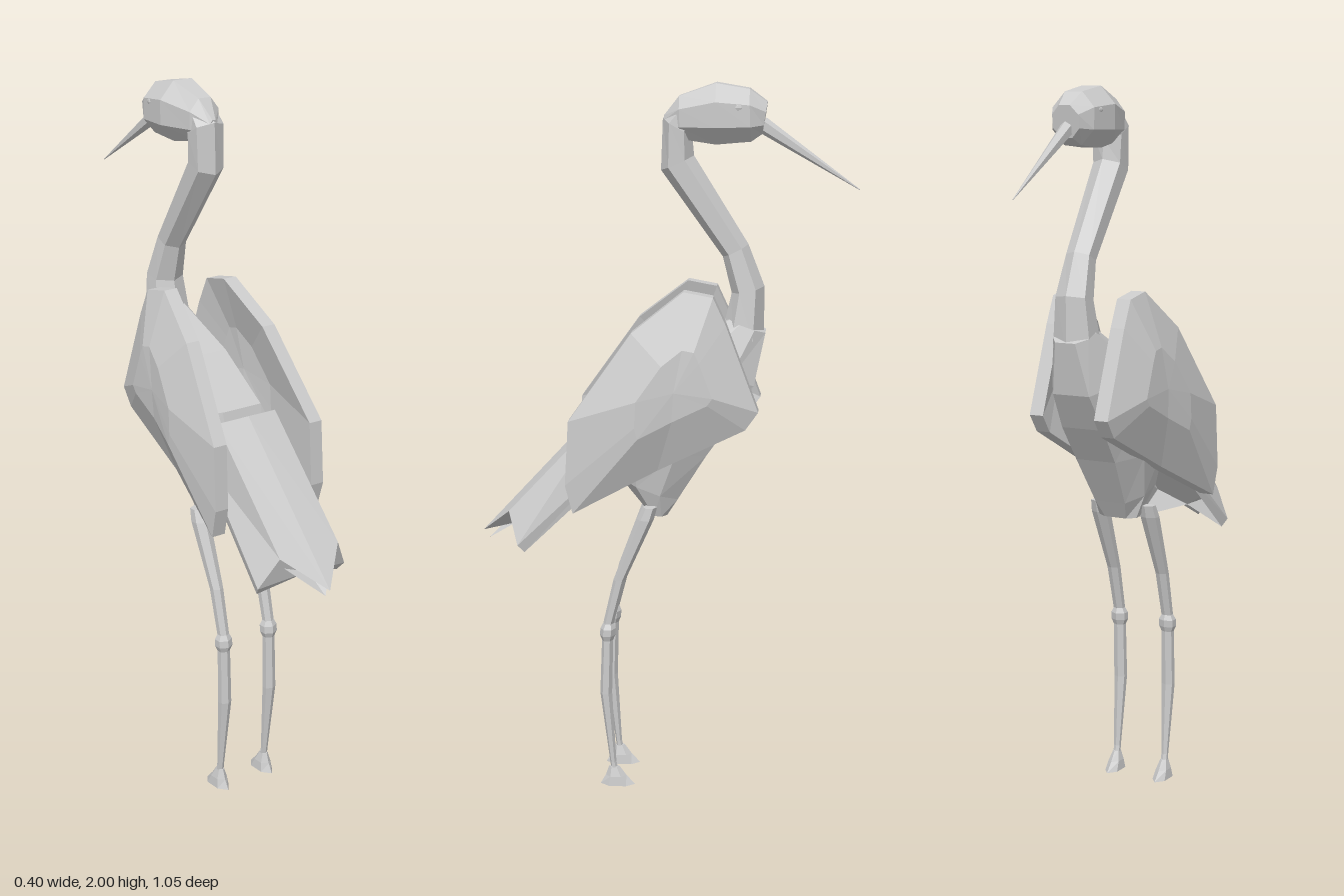
import * as THREE from 'three';

const material = new THREE.MeshStandardMaterial({ color: 0xcccccc, flatShading: true });

function add(parent, name, geometry) {
  const mesh = new THREE.Mesh(geometry, material);
  mesh.name = name;
  parent.add(mesh);
  return mesh;
}

// Flat-sided skin through rings of points, capped at both ends, always facing outward
function loft(rings) {
  const n = rings[0].length;
  const tris = [];
  const centre = (r) => r.reduce((s, p) => s.add(p), new THREE.Vector3()).divideScalar(n);
  const first = centre(rings[0]);
  const last = centre(rings[rings.length - 1]);
  for (let k = 0; k < n; k++) {
    const j = (k + 1) % n;
    for (let i = 0; i < rings.length - 1; i++) {
      const [a, b] = [rings[i], rings[i + 1]];
      tris.push([a[k], a[j], b[j]], [a[k], b[j], b[k]]);
    }
    tris.push([first, rings[0][j], rings[0][k]]);
    tris.push([last, rings[rings.length - 1][k], rings[rings.length - 1][j]]);
  }
  let volume = 0;
  for (const [a, b, c] of tris) volume += a.dot(b.clone().cross(c));
  if (volume < 0) tris.forEach((t) => t.reverse());
  const geometry = new THREE.BufferGeometry().setFromPoints(tris.flat());
  geometry.computeVertexNormals();
  return geometry;
}

// Ring between two side-profile points [z, y] with a half width across x.
// flat turns the ring so that a side, not a corner, lies at each end.
function ring([z1, y1], [z2, y2], halfWidth, { sides = 6, flat = false, power = 1, x = 0 } = {}) {
  const phase = flat ? Math.PI / sides : 0;
  const sMax = flat ? Math.cos(phase) : 1;
  const points = [];
  for (let k = 0; k < sides; k++) {
    const t = phase + (k / sides) * Math.PI * 2;
    const c = Math.cos(t) / sMax;
    const s = Math.sin(t) / (sides === 6 ? (flat ? 1 : Math.sin(Math.PI / 3)) : sMax);
    points.push(new THREE.Vector3(
      x + halfWidth * Math.sign(s) * Math.abs(s) ** power,
      (y1 + y2) / 2 + ((y1 - y2) / 2) * c,
      (z1 + z2) / 2 + ((z1 - z2) / 2) * c));
  }
  return points;
}

// Wing outline as [z, y]
const wingOutline = [
  [-0.05, 1.45], [-0.13, 1.435], [-0.165, 1.36], [-0.255, 1.12], [-0.22, 1.07],
  [0.02, 0.955], [0.25, 0.84], [0.27, 0.92], [0.26, 1.1], [0.09, 1.34],
];

function wing(side) {
  const layer = (offset, scale, bulge) => wingOutline.map(([z, y]) => {
    const pz = -0.05 + (z + 0.05) * scale;
    const py = 1.2 + (y - 1.2) * scale;
    const x = 0.08 + Math.max(0, pz + 0.05) * 0.2 + offset + bulge;
    return new THREE.Vector3(side * x, py, pz);
  });
  return loft([layer(0, 0.4, 0.045), layer(0, 1, 0), layer(0.042, 1, 0), layer(0.042, 0.4, 0.052)]);
}

// Fanned tail plate: a flat top with lowered outer edges and a pointed end
function tail() {
  const start = [[-0.115, 1.0, 0.13], [-0.1, 1.12, 0.16], [0, 1.125, 0.17], [0.1, 1.12, 0.16], [0.115, 1.0, 0.13]];
  const end = [[-0.15, 0.735, 0.41], [-0.1, 0.82, 0.44], [0, 0.735, 0.53], [0.1, 0.82, 0.44], [0.15, 0.735, 0.41]];
  const section = (row) => [
    ...row.map(([x, y, z]) => new THREE.Vector3(x, y, z)),
    ...row.map(([x, y, z]) => new THREE.Vector3(x * 0.93, y - 0.022, z - 0.018)).reverse(),
  ];
  return loft([section(start), section(end)]);
}

// Leg centres and radii: [y, z, radius], from hip to ankle
const legPath = [
  [0.835, 0.045, 0.02], [0.8, 0.058, 0.024], [0.62, 0.132, 0.017], [0.49, 0.164, 0.015],
  [0.475, 0.165, 0.022], [0.455, 0.167, 0.022], [0.44, 0.167, 0.016],
  [0.28, 0.172, 0.017], [0.07, 0.153, 0.009], [0.035, 0.147, 0.01],
];

export function createModel() {
  const bird = new THREE.Group();
  bird.name = 'wadingBird';

  // Body, from the collar down to the belly
  const bodyStyle = { sides: 8, flat: true, power: 0.65 };
  add(bird, 'body', loft([
    ring([-0.27, 1.325], [-0.17, 1.36], 0.055, bodyStyle),
    ring([-0.24, 1.18], [-0.01, 1.26], 0.1, bodyStyle),
    ring([-0.18, 1.08], [0.14, 1.14], 0.115, bodyStyle),
    ring([-0.11, 0.98], [0.17, 1.02], 0.11, bodyStyle),
    ring([-0.03, 0.85], [0.13, 0.91], 0.085, bodyStyle),
    ring([0, 0.8], [0.05, 0.805], 0.06, bodyStyle),
  ]));

  // S-shaped neck
  add(bird, 'neck', loft([
    ring([-0.265, 1.3], [-0.15, 1.32], 0.058),
    ring([-0.265, 1.45], [-0.175, 1.43], 0.046),
    ring([-0.22, 1.565], [-0.15, 1.53], 0.036),
    ring([-0.07, 1.805], [0.02, 1.765], 0.042),
    ring([-0.065, 1.86], [0.015, 1.905], 0.045),
    ring([-0.09, 1.9], [-0.03, 1.955], 0.04),
  ]));

  // Head, from the nape to the face
  const headStyle = { sides: 8, flat: true };
  add(bird, 'head', loft([
    ring([0.012, 1.912], [0.005, 1.875], 0.012, headStyle),
    ring([-0.03, 1.965], [-0.035, 1.85], 0.048, headStyle),
    ring([-0.13, 2.0], [-0.13, 1.837], 0.074, headStyle),
    ring([-0.22, 1.985], [-0.225, 1.845], 0.064, headStyle),
    ring([-0.268, 1.95], [-0.255, 1.865], 0.04, headStyle),
  ]));

  // Long tapering beak
  add(bird, 'beak', loft([
    ring([-0.265, 1.908], [-0.245, 1.868], 0.016),
    ring([-0.52, 1.717], [-0.519, 1.715], 0.001),
  ]));

  add(bird, 'tail', tail());

  for (const side of [1, -1]) {
    const label = side > 0 ? 'left' : 'right';
    add(bird, label + 'Wing', wing(side));

    const eye = add(bird, label + 'Eye', new THREE.SphereGeometry(0.015, 8, 6));
    eye.position.set(side * 0.061, 1.938, -0.19);
    eye.scale.set(0.6, 0.7, 1);

    // Leg with a knee knuckle
    const x = side * 0.08;
    add(bird, label + 'Leg', loft(legPath.map(([y, z, r]) =>
      ring([z - r, y], [z + r, y], r, { x }))));

    // Small wedge foot, longer toward the toes
    add(bird, label + 'Foot', loft([
      ring([0.135, 0.055], [0.165, 0.055], 0.009, { x }),
      ring([0.115, 0.027], [0.175, 0.027], 0.017, { x }),
      ring([0.09, 0], [0.19, 0], 0.02, { x }),
    ]));
  }
  return bird;
}
